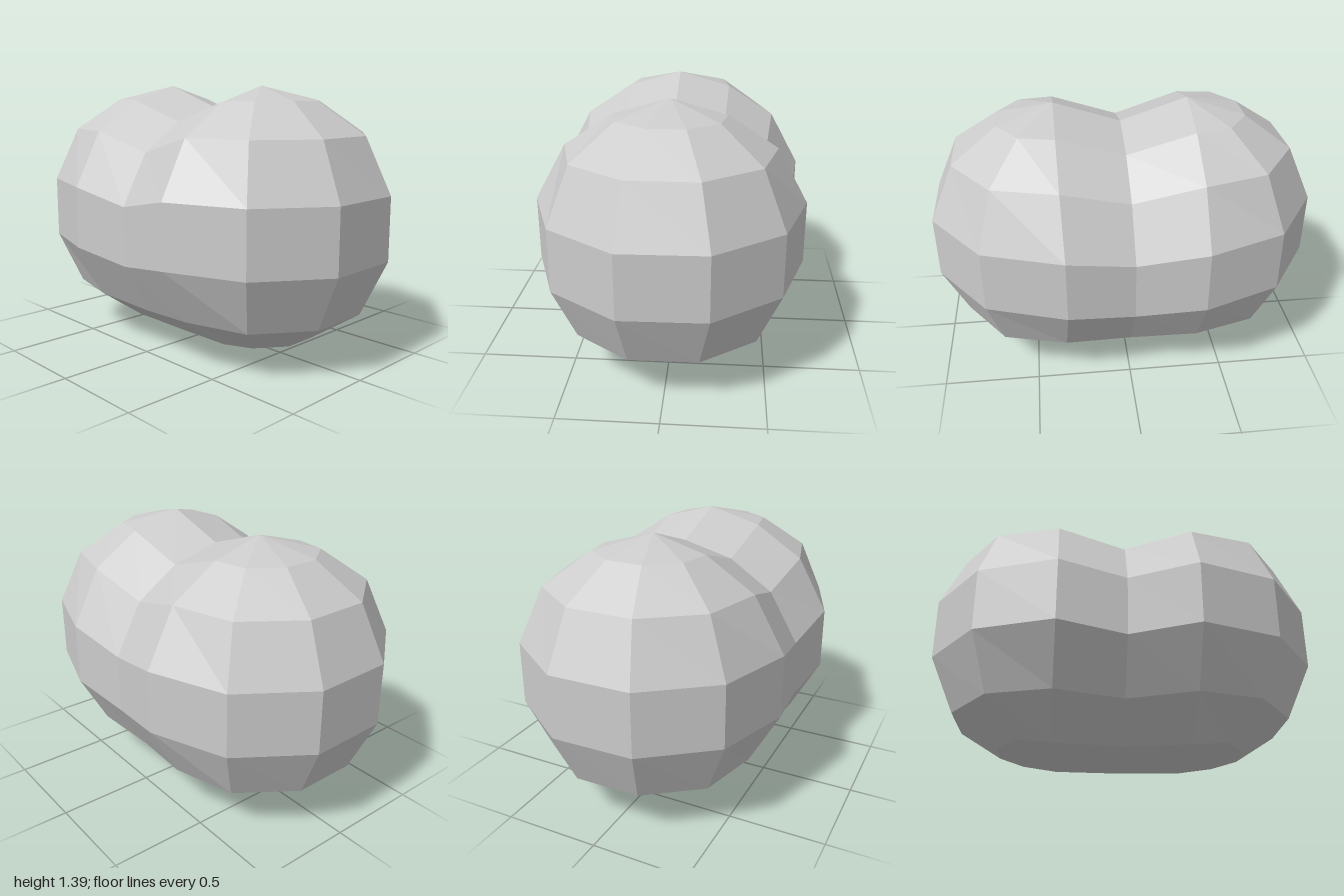
import * as THREE from 'three';

// Rings from top pole to bottom pole:
// [end height, end radius, side height, side depth, waist height, waist depth, twist in degrees]
const RINGS = [
  [1.395, 0, 1.395, 0, 1.28, 0, 0],
  [1.32, 0.305, 1.317, 0.28, 1.21, 0.265, 0.3],
  [1.155, 0.55, 1.155, 0.53, 1.06, 0.49, 0.6],
  [0.87, 0.68, 0.87, 0.687, 0.80, 0.638, 1.3],
  [0.545, 0.68, 0.545, 0.687, 0.495, 0.638, 1.3],
  [0.26, 0.55, 0.26, 0.53, 0.23, 0.49, 0.6],
  [0.10, 0.305, 0.08, 0.27, 0.07, 0.255, 0.3],
  [0.022, 0, 0.022, 0, 0.005, 0, 0],
];
const LOBE_X = 0.345;
const STEPS = 5; // segments round each rounded end
const COLS = 2 * (STEPS + 2);

// One ring: right lobe and back waist, then the same turned half a revolution
function ringPoints([endY, endR, sideY, sideZ, waistY, waistZ, twist]) {
  const half = [];
  const turn = THREE.MathUtils.degToRad(twist);
  for (let i = 0; i <= STEPS; i++) {
    const side = i === 0 || i === STEPS;
    const r = side ? sideZ : endR;
    const a = (i / STEPS) * Math.PI + turn;
    half.push([LOBE_X + r * Math.sin(a), side ? sideY : endY, r * Math.cos(a)]);
  }
  half.push([-waistZ * Math.sin(turn) * 0.6, waistY, -waistZ]);
  return [...half, ...half.map(([x, y, z]) => [-x, y, -z])];
}

function bodyGeometry() {
  const positions = RINGS.flatMap((ring) => ringPoints(ring).flat());
  const index = [];
  const last = RINGS.length - 1;
  // The poles stretch into a ridge between the lobes, so drop only collapsed triangles there
  const collapsed = (i) => i % (STEPS + 2) < STEPS;
  for (let j = 0; j < last; j++) {
    for (let i = 0; i < COLS; i++) {
      const n = (i + 1) % COLS;
      const a = j * COLS + i, b = a + COLS;
      const d = j * COLS + n, c = d + COLS;
      if (!(j === last - 1 && collapsed(i))) index.push(a, b, c);
      if (j === last - 1 && collapsed(i)) index.push(a, b, d);
      else if (!(j === 0 && collapsed(i))) index.push(a, c, d);
    }
  }
  const geometry = new THREE.BufferGeometry();
  geometry.setAttribute('position', new THREE.Float32BufferAttribute(positions, 3));
  geometry.setIndex(index);
  geometry.computeVertexNormals();
  return geometry;
}

export function createModel() {
  const group = new THREE.Group();
  const material = new THREE.MeshStandardMaterial({ color: 0xcccccc, flatShading: true });
  // Two rounded lobes joined at a pinched waist
  const body = new THREE.Mesh(bodyGeometry(), material);
  body.name = 'twoLobedBody';
  group.add(body);
  return group;
}
